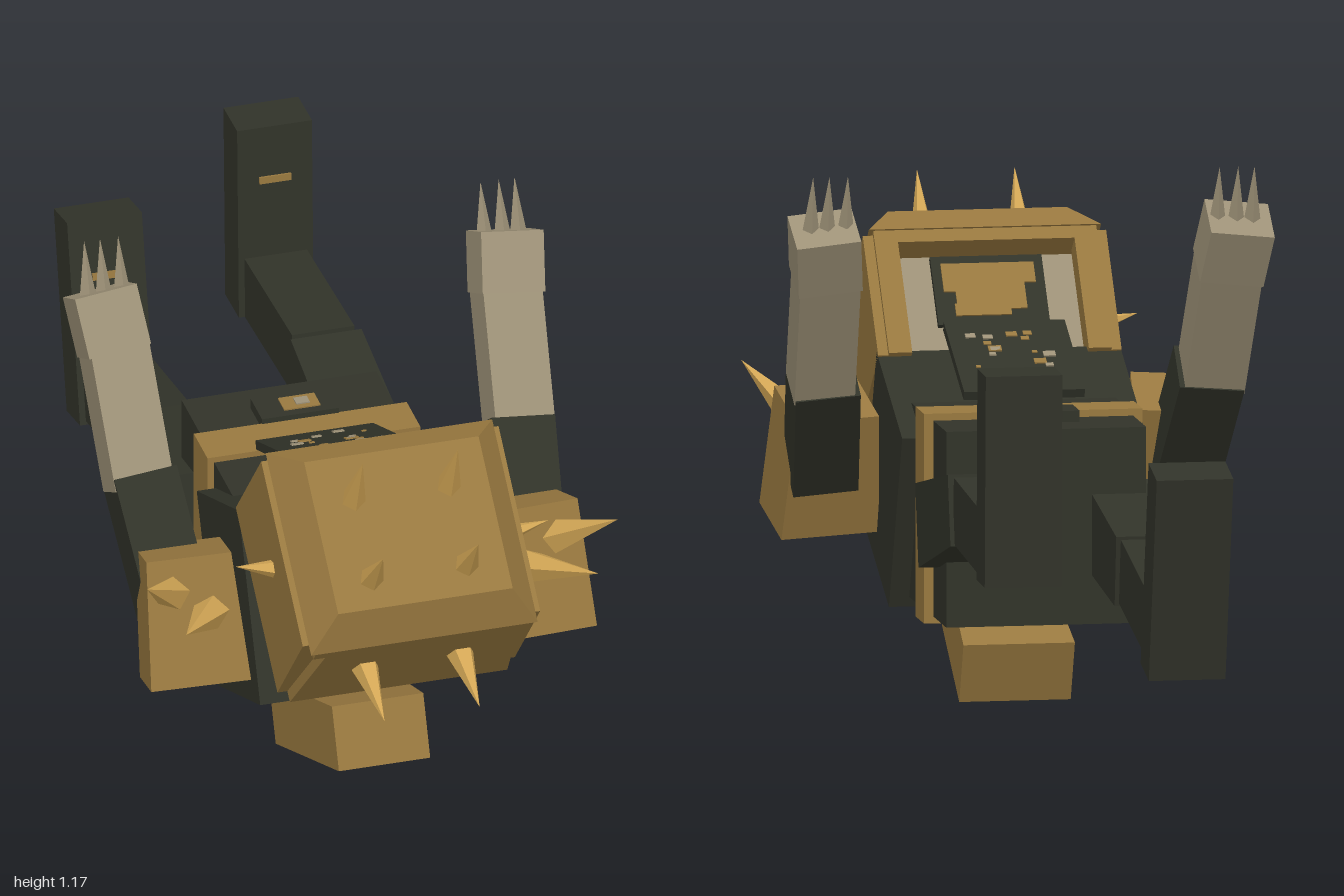
import * as THREE from 'three';

const mat = (name, color) => {
  const m = new THREE.MeshStandardMaterial({ color, flatShading: true });
  m.name = name;
  return m;
};

export function createModel() {
  const root = new THREE.Group();
  root.name = 'armouredFigure';
  const dark = mat('dark cloth', 0x313329);
  const gold = mat('dull gold armour', 0x98783f);
  const horn = mat('pale gold spike', 0xd2a655);
  const hide = mat('grey beige skin', 0x9d9177);
  const V = (x, y, z) => new THREE.Vector3(x, y, z);

  function add(parent, name, geo, material, pos = [0, 0, 0], rx = 0) {
    const m = new THREE.Mesh(geo, material);
    m.name = name;
    m.position.set(...pos);
    m.rotation.x = rx;
    parent.add(m);
    return m;
  }

  // Box whose top is scaled in x and z
  function taper(w, h, d, sx = 1, sz = 1) {
    const g = new THREE.BoxGeometry(w, h, d);
    const p = g.attributes.position;
    for (let i = 0; i < p.count; i++) {
      if (p.getY(i) > 0) p.setXYZ(i, p.getX(i) * sx, p.getY(i), p.getZ(i) * sz);
    }
    g.computeVertexNormals();
    return g;
  }

  // Places a geometry built along y between two points
  function span(name, a, b, makeGeo, material) {
    const dir = b.clone().sub(a);
    const m = add(root, name, makeGeo(dir.length()), material);
    m.position.copy(a).add(b).multiplyScalar(0.5);
    m.quaternion.setFromUnitVectors(V(0, 1, 0), dir.normalize());
    return m;
  }
  const limb = (name, a, b, w, d, material, sx = 1, sz = 1) =>
    span(name, a, b, (l) => taper(w, l, d, sx, sz), material);
  const spike = (name, a, b, r, material = horn, sides = 5) =>
    span(name, a, b, (l) => new THREE.ConeGeometry(r, l, sides), material);

  // Seeded scatter of thin flecks on a plate
  let seed = 7;
  const rnd = () => (seed = (seed * 16807) % 2147483647) / 2147483647;
  function flecks(parent, w, d, y, count, size) {
    for (let i = 0; i < count; i++) {
      const s = size * (0.5 + rnd());
      add(parent, 'fleck', new THREE.BoxGeometry(s, 0.004, s * 0.7), i % 2 ? hide : gold,
        [(rnd() - 0.5) * w, y, (rnd() - 0.5) * d]);
    }
  }

  // Torso
  add(root, 'pelvis', new THREE.BoxGeometry(0.43, 0.42, 0.2), dark, [0, 0.445, -0.08]);
  add(root, 'belt', new THREE.BoxGeometry(0.47, 0.45, 0.105), gold, [0, 0.445, 0.035]);
  add(root, 'belly', new THREE.BoxGeometry(0.44, 0.42, 0.18), dark, [0, 0.447, 0.17]);
  add(root, 'chest', new THREE.BoxGeometry(0.524, 0.42, 0.35), dark, [0, 0.477, 0.343], -0.407);
  add(root, 'collar', new THREE.BoxGeometry(0.34, 0.26, 0.08), gold, [0, 0.55, 0.53], -0.407);
  limb('neck', V(0, 0.5, 0.5), V(0, 0.6, 0.7), 0.3, 0.16, hide);

  // Emblem plates hovering over the chest and belt
  const chestPlate = add(root, 'chestPlate', new THREE.BoxGeometry(0.26, 0.02, 0.28), dark,
    [0, 0.745, 0.222], -0.41);
  flecks(chestPlate, 0.2, 0.2, 0.011, 16, 0.02);
  const beltPlate = add(root, 'beltPlate', new THREE.BoxGeometry(0.17, 0.024, 0.09), dark, [0, 0.67, -0.06]);
  add(beltPlate, 'beltMark', new THREE.BoxGeometry(0.08, 0.004, 0.05), gold, [0.01, 0.013, 0]);
  add(beltPlate, 'beltStud', new THREE.BoxGeometry(0.03, 0.004, 0.025), hide, [0.015, 0.016, 0]);

  // Block under the chest
  limb('backBlock', V(0, 0.08, 0.185), V(0, 0.252, 0.603), 0.24, 0.14, gold, 0.84);

  // Helmet, tipped so the face looks toward the feet
  const helmet = new THREE.Group();
  helmet.name = 'helmet';
  helmet.position.set(0, 0.445, 0.737);
  helmet.rotation.x = 0.707;
  root.add(helmet);
  add(helmet, 'head', new THREE.BoxGeometry(0.42, 0.29, 0.36), hide, [0, 0.147, -0.21]);
  add(helmet, 'helmetBack', taper(0.48, 0.3, 0.05, 0.88), gold, [0, 0.15, -0.025]);
  add(helmet, 'helmetBase', new THREE.BoxGeometry(0.4, 0.03, 0.34), gold, [0, 0.012, -0.2]);
  add(helmet, 'helmetBrim', new THREE.BoxGeometry(0.48, 0.03, 0.455), gold, [0, 0.291, -0.2275]);
  add(helmet, 'helmetCap', taper(0.5, 0.08, 0.46, 0.77, 0.75), gold, [0, 0.346, -0.23]);
  for (const s of [-1, 1]) {
    add(helmet, 'helmetCheek', new THREE.BoxGeometry(0.07, 0.3, 0.42), gold, [s * 0.227, 0.15, -0.235]);
    add(helmet, 'helmetRim', new THREE.BoxGeometry(0.05, 0.3, 0.05), gold, [s * 0.215, 0.15, -0.43]);
  }
  // Face plate in the helmet opening
  const face = add(helmet, 'facePlate', new THREE.BoxGeometry(0.24, 0.17, 0.012), dark, [0, 0.17, -0.42]);
  for (const [x, y, w, h] of [[0, 0, 0.15, 0.1], [-0.04, 0.04, 0.12, 0.05], [0.05, 0.03, 0.1, 0.07], [0.02, -0.05, 0.12, 0.03]])
    add(face, 'faceMark', new THREE.BoxGeometry(w, h, 0.006), gold, [x, y, -0.007]);

  // Helmet spikes
  for (const s of [-1, 1]) {
    const x = s * 0.105;
    spike('crownSpike', V(x, 0.925, 0.748), V(x, 1.067, 0.828), 0.029);
    spike('crownSpike', V(x, 0.81, 0.885), V(x, 0.922, 0.984), 0.029);
    spike('rearSpike', V(x, 0.58, 0.84), V(x, 0.525, 0.995), 0.032);
    spike('cheekSpike', V(s * 0.25, 0.745, 0.68), V(s * 0.345, 0.768, 0.685), 0.022);
  }

  // Arms, mirrored
  for (const s of [-1, 1]) {
    const P = (x, y, z) => V(s * x, y, z);
    const pad = add(root, 'shoulderPad', taper(0.215, 0.28, 0.17, 0.85), gold, [s * 0.375, 0.51, 0.435], -0.35);
    pad.rotation.y = s * 0.12;
    spike('shoulderSpike', P(0.42, 0.59, 0.47), P(0.52, 0.7, 0.615), 0.04);
    spike('shoulderSpike', P(0.345, 0.55, 0.5), P(0.455, 0.62, 0.69), 0.04);
    limb('upperArm', P(0.39, 0.49, 0.37), P(0.415, 0.72, 0.195), 0.14, 0.125, dark);
    limb('forearm', P(0.42, 0.7, 0.205), P(0.433, 0.965, 0.055), 0.13, 0.115, hide);
    limb('hand', P(0.433, 0.955, 0.06), P(0.447, 1.07, -0.002), 0.138, 0.12, hide);
    [0.4, 0.44, 0.475].forEach((x) =>
      spike('claw', P(x, 1.065, 0.005), P(x, 1.185, -0.025), 0.018, hide, 4));
  }

  // Legs, each with its own bend
  const legs = [
    { x: 0.178, knee: [0.528, -0.455], ankle: [0.504, -0.83], foot: [0.66, -0.879], tilt: -0.03 },
    { x: -0.18, knee: [0.388, -0.455], ankle: [0.315, -0.83], foot: [0.452, -0.895], tilt: -0.22 },
  ];
  for (const { x, knee, ankle, foot, tilt } of legs) {
    limb('thigh', V(x, 0.44, -0.075), V(x, ...knee), 0.165, 0.18, dark, 0.95, 0.85);
    limb('shin', V(x, ...knee), V(x, ...ankle), 0.138, 0.142, dark);
    const f = add(root, 'foot', new THREE.BoxGeometry(0.165, 0.455, 0.105), dark, [x, ...foot], tilt);
    add(f, 'footStripe', new THREE.BoxGeometry(0.07, 0.016, 0.006), gold, [0, 0.1, 0.054]);
  }
  return root;
}
